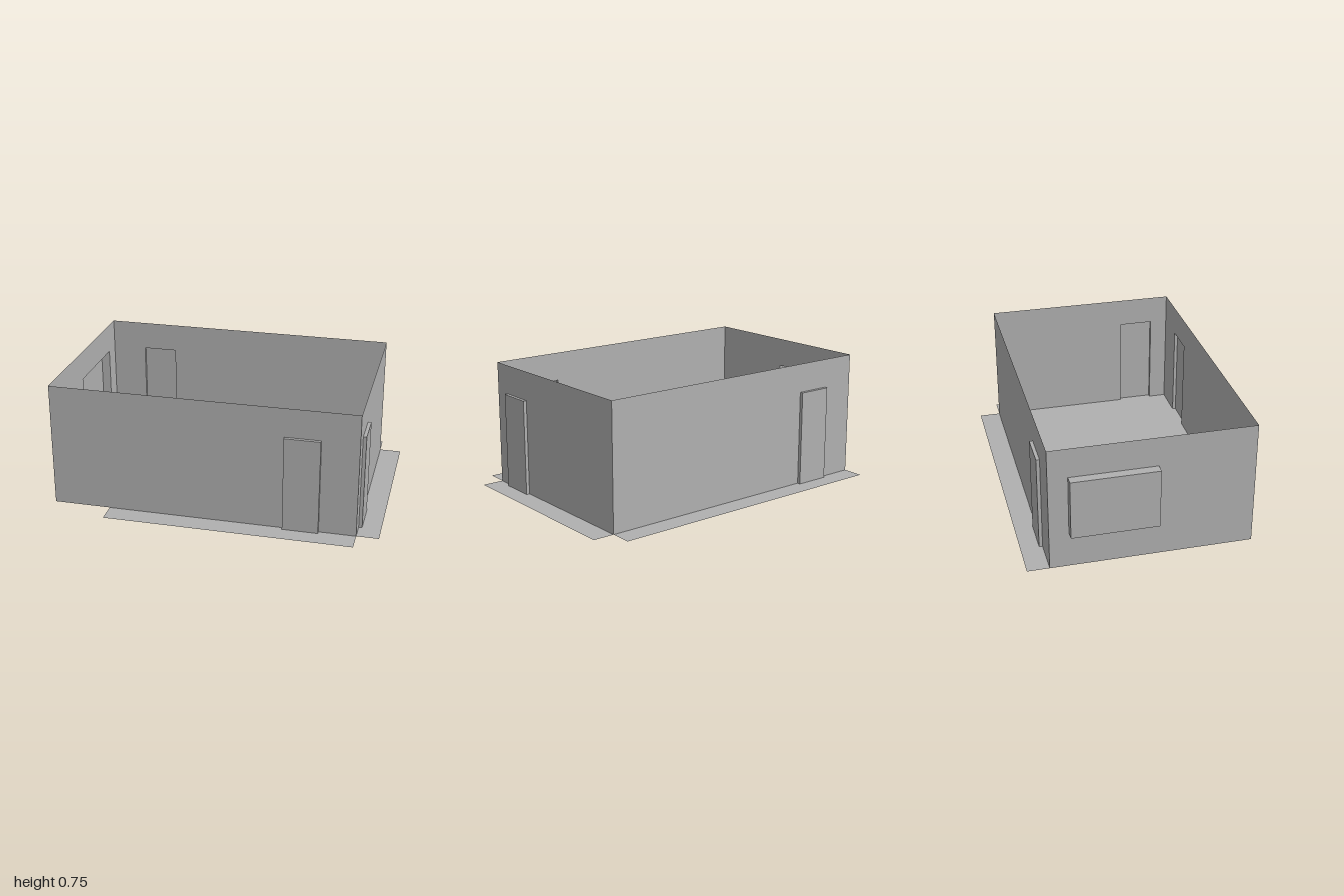
import * as THREE from 'three';

const X0 = -0.945, X1 = 0.87, Z = 0.587, H = 0.75;
const DOOR_TOP = 0.575, DOOR_DEPTH = 0.02;

export function createModel() {
  const model = new THREE.Group();
  model.name = 'room';
  const plaster = new THREE.MeshStandardMaterial({ color: 0xb0b0b0, side: THREE.DoubleSide });
  plaster.name = 'plain grey';

  const outline = (points) => new THREE.Shape(points.map(([a, b]) => new THREE.Vector2(a, b)));
  const rect = (u0, u1, v0, v1) => [[u0, v0], [u1, v0], [u1, v1], [u0, v1]];

  function sheet(name, shape, parent) {
    const mesh = new THREE.Mesh(new THREE.ShapeGeometry(shape), plaster);
    mesh.name = name;
    parent.add(mesh);
    return mesh;
  }

  // Outward niche, open towards the room: an outer panel and its reveals
  function niche(name, { u0, u1, v0, v1, depth }, parent) {
    const group = new THREE.Group();
    group.name = name;
    sheet('panel', outline(rect(u0, u1, v0, v1)), group).position.z = depth;
    for (const [u, turn] of [[u0, -1], [u1, 1]]) {
      const side = new THREE.Mesh(new THREE.PlaneGeometry(depth, v1 - v0), plaster);
      side.name = 'sideReveal';
      side.rotation.y = turn * Math.PI / 2;
      side.position.set(u, (v0 + v1) / 2, depth / 2);
      group.add(side);
    }
    for (const [v, turn] of [[v0, 1], [v1, -1]]) {
      if (v === 0) continue; // the floor closes a door niche
      const cap = new THREE.Mesh(new THREE.PlaneGeometry(u1 - u0, depth), plaster);
      cap.name = 'capReveal';
      cap.rotation.x = turn * Math.PI / 2;
      cap.position.set((u0 + u1) / 2, v, depth / 2);
      group.add(cap);
    }
    parent.add(group);
  }

  // Thin wall facing local +z, with one opening and its niche
  function wall(name, start, end, turn, x, z, openingName, o) {
    const group = new THREE.Group();
    group.name = name;
    let shape;
    if (o.v0 === 0) {
      shape = outline([[start, 0], [o.u0, 0], [o.u0, o.v1], [o.u1, o.v1], [o.u1, 0],
        [end, 0], [end, H], [start, H]]);
    } else {
      shape = outline(rect(start, end, 0, H));
      shape.holes.push(outline(rect(o.u0, o.u1, o.v0, o.v1)));
    }
    sheet('wallSheet', shape, group);
    niche(openingName, o, group);
    group.rotation.y = turn * Math.PI / 2;
    group.position.set(x, 0, z);
    model.add(group);
  }

  const door = (u0, u1) => ({ u0, u1, v0: 0, v1: DOOR_TOP, depth: DOOR_DEPTH });
  wall('frontWall', X0, X1, 0, 0, Z, 'frontDoor', door(0.443, 0.653));
  wall('leftWall', -Z, Z, 1, X1, 0, 'sideDoor', door(-0.48, -0.27));
  wall('backWall', -X1, -X0, 2, 0, -Z, 'backDoor', door(0.522, 0.732));
  wall('rightWall', -Z, Z, -1, X0, 0, 'window',
    { u0: -0.475, u1: 0.028, v0: 0.217, v1: 0.573, depth: 0.055 });

  // Floor with sills reaching past the walls, drawn in x and -z
  const floor = sheet('floor', outline([
    [-0.603, -0.715], [X1, -0.715], [X1, -Z], [1, -Z], [1, Z],
    [X1, Z], [X1, 0.715], [X0, 0.715], [X0, -Z], [-0.603, -Z],
  ]), model);
  floor.rotation.x = -Math.PI / 2;

  return model;
}
